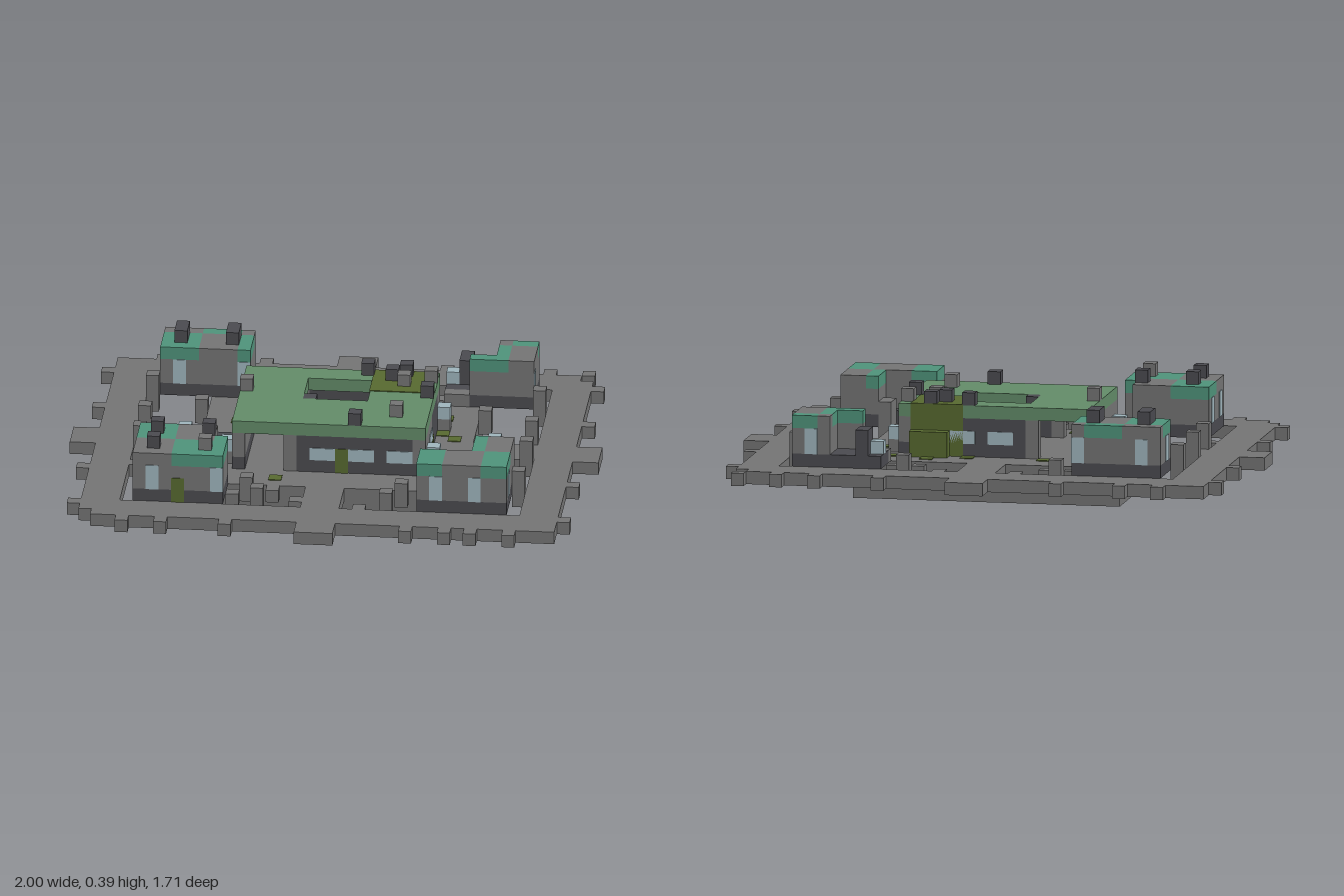
import * as THREE from 'three';

const U = 2 / 41; // edge of one block

export function createModel() {
  const model = new THREE.Group();
  const mat = (name, color) => {
    const m = new THREE.MeshStandardMaterial({ color });
    m.name = name;
    return m;
  };
  const stone = mat('stone', 0x757575), dark = mat('dark stone', 0x4b4b50);
  const teal = mat('teal copper', 0x4f947b), green = mat('green roof', 0x638c69);
  const glass = mat('pale glass', 0xa0b6be), olive = mat('olive vine', 0x586a30);

  let part = model;
  const group = (name) => {
    part = new THREE.Group();
    part.name = name;
    model.add(part);
  };
  // Box covering whole blocks, first to last index on each axis; y counts up from 0
  const box = (name, m, x0, x1, y0, y1, z0, z1, grow = 0) => {
    const size = [x1 - x0 + 1, y1 - y0 + 1, z1 - z0 + 1].map((n) => n * U + 2 * grow);
    const mesh = new THREE.Mesh(new THREE.BoxGeometry(...size), m);
    mesh.position.set((x0 + x1) / 2 * U, (y0 + y1 + 1) / 2 * U, (z0 + z1) / 2 * U);
    mesh.name = name;
    part.add(mesh);
    return mesh;
  };
  // Thin plate on a wall face; axis is the facing axis, sign its direction
  const plate = (name, m, axis, sign, x0, x1, y0, y1, z0, z1) => {
    const mesh = box(name, m, x0, x1, y0, y1, z0, z1);
    const span = { x: x1 - x0 + 1, y: y1 - y0 + 1, z: z1 - z0 + 1 }[axis] * U;
    mesh.scale[axis] = 0.006 / span;
    mesh.position[axis] += sign * span / 2;
  };

  // Foundation, platform and outer walkway
  group('ground');
  box('foundation', stone, -10, 10, 0, 1, -8, 8);
  box('platform', stone, -10, 10, 2, 2, -8, 8);
  for (const s of [-1, 1]) {
    const zi = (a, b) => (s > 0 ? [a, b] : [-b, -a]);
    // Each long side loses one corner block
    const a = s > 0 ? -17 : -18, b = s > 0 ? 18 : 17;
    box('walkwayLong', stone, -18, 18, 2, 2, ...zi(13, 14));
    box('walkwayLongEdge', stone, a, b, 2, 2, ...zi(15, 15));
    box('walkwayShort', stone, ...zi(16, 18), 2, 2, -12, 12);
    box('bridgeZ', stone, -1, 1, 2, 2, ...zi(9, 12));
    box('gateZ', stone, -1, 1, 2, 2, ...zi(16, 17));
    box('bridgeX', stone, ...zi(11, 15), 2, 2, -1, 1);
    box('gateX', stone, ...zi(19, 20), 2, 2, -1, 1);
    for (const x of [-15, -12, -7, 7, s > 0 ? 10 : 18, 12, 15]) box('edgeBlock', stone, x, x, 2, 2, s * 16, s * 16);
    for (const z of [-13, -6, 6, 13]) box('edgeBlock', stone, s * 19, s * 19, 2, 2, z, z);
    for (const z of [-3, 3]) box('glassBlock', glass, s * 12, s * 12, 2, 2, z, z);
  }

  // Loose blocks in the openings: x, z, top layer
  group('rubble');
  [[-3, -12, 2], [-6, -11, 3], [-7, -10, 2], [-5, -10, 2], [3, -12, 2], [6, -11, 3], [7, -10, 2], [5, -10, 2],
    [-15, -8, 4], [-11, -6, 3], [-15, -2, 4], [-12, -2, 2], [-15, 2, 4], [-15, 5, 2], [-11, 6, 3],
    [15, -8, 4], [11, -6, 3], [15, -2, 4], [15, 2, 4], [14, 5, 2], [11, 7, 4], [15, 8, 4],
    [-6, 9, 3], [-4, 9, 2], [-7, 10, 2], [-2, 11, 2], [-5, 11, 3], [6, 9, 3], [8, 9, 2], [5, 11, 3], [3, 12, 2],
  ].forEach(([x, z, top]) => box('looseBlock', stone, x, x, 2, top, z, z));
  [[8, 4], [8, -4], [-8, 4]].forEach(([x, z]) => {
    box('lampPost', stone, x, x, 3, 3, z, z);
    box('lampGlass', glass, x, x, 4, 4, z, z);
  });

  // Corner tower: dark foot, stone wall, then a roof layer given as coloured patches
  const tower = (name, feet, patches) => {
    group(name);
    for (const [x0, x1, z0, z1] of feet) {
      box('foot', dark, x0, x1, 3, 3, z0, z1);
      box('wall', stone, x0, x1, 4, 5, z0, z1);
    }
    for (const [m, x0, x1, z0, z1] of patches) box('roofPatch', m, x0, x1, 6, 6, z0, z1);
  };
  const S = stone, T = teal;
  tower('backRightTower', [[-14, -8, -12, -9]], [
    [S, -14, -12, -12, -12], [T, -11, -9, -12, -12], [S, -8, -8, -12, -12],
    [T, -14, -12, -11, -9], [S, -11, -9, -11, -9], [T, -8, -8, -11, -9]]);
  for (const x of [-13, -9]) box('chimney', dark, x, x, 7, 7, -11, -10);
  for (const x of [-13, -8]) {
    plate('window', glass, 'z', -1, x, x, 4, 5, -12, -12);
    plate('window', glass, 'z', 1, x, x, 4, 5, -9, -9);
  }
  plate('window', glass, 'x', -1, -14, -14, 4, 5, -10, -10);

  tower('frontRightTower', [[-14, -8, 9, 12], [-14, -9, 7, 8]], [
    [T, -14, -12, 7, 9], [S, -11, -9, 7, 9], [T, -8, -8, 9, 9],
    [S, -14, -12, 10, 12], [T, -11, -8, 10, 12]]);
  for (const [x, z, m] of [[-13, 8, dark], [-9, 8, dark], [-13, 11, dark], [-9, 11, stone]]) box('chimney', m, x, x, 7, 7, z, z);
  for (const x of [-13, -8]) plate('window', glass, 'z', 1, x, x, 4, 5, 12, 12);
  for (const z of [8, 11]) plate('window', glass, 'x', -1, -14, -14, 4, 5, z, z);
  plate('vine', olive, 'z', 1, -11, -11, 3, 4, 12, 12);

  tower('frontLeftTower', [[8, 14, 10, 12], [12, 14, 7, 9]], [
    [T, 8, 9, 10, 12], [S, 10, 12, 10, 12], [T, 13, 14, 10, 12],
    [T, 12, 12, 7, 9], [S, 13, 14, 7, 9]]);
  box('step', dark, 9, 11, 3, 3, 9, 9);
  box('step', stone, 11, 11, 3, 4, 8, 8);
  plate('window', glass, 'z', 1, 12, 12, 4, 5, 12, 12);
  plate('window', glass, 'z', 1, 9, 9, 4, 5, 12, 12);
  plate('window', glass, 'x', 1, 14, 14, 4, 5, 11, 11);

  // Ruined tower with an open corner
  tower('backLeftTower', [[12, 14, -12, -9], [10, 11, -9, -9]], [
    [S, 12, 12, -12, -12], [T, 13, 14, -12, -12], [T, 12, 12, -11, -10],
    [S, 13, 14, -11, -9], [T, 10, 12, -9, -9]]);
  box('ruinFloor', dark, 8, 11, 3, 3, -12, -10);
  box('ruinStep', stone, 8, 9, 3, 3, -9, -9);
  box('ruinBlock', dark, 9, 9, 4, 5, -12, -11);
  box('ruinGlass', glass, 8, 8, 4, 4, -11, -11);
  plate('window', glass, 'x', 1, 14, 14, 4, 5, -9, -9);
  plate('window', glass, 'z', -1, 13, 13, 4, 5, -12, -12);

  // Hall walls, with a wide passage near the right end
  group('hall');
  for (const s of [-1, 1]) {
    box('longWall', dark, -2, 6, 3, 5, s * 5, s * 5);
    box('passagePost', stone, -3, -3, 3, 5, s * 5, s * 5);
    for (const x of [-7, 7]) {
      box('cornerPost', stone, x, x, 4, 5, s * 5, s * 5);
      box('cornerFoot', dark, x, x, 3, 3, s * 5, s * 5);
    }
    for (const [a, b] of [[-1, 0], [2, 3], [5, 6]]) plate('longWindow', glass, 'z', s, a, b, 4, 4, s * 5, s * 5);
    // End walls
    const x = s * 7;
    box('endFoot', dark, x, x, 3, 3, -4, 4);
    box('endWall', stone, x, x, 4, 5, 1, 4);
    box('endPanel', dark, x, x, 4, 5, -3, 0);
    box('endWall', stone, x, x, 4, 5, -4, -4);
    for (const [a, b] of [[4, 4], [1, 2], [-4, -4]]) plate('endWindow', glass, 'x', s, x, x, 4, 4, a, b);
  }
  plate('vine', olive, 'z', 1, 1, 1, 3, 4, 5, 5);
  plate('vine', olive, 'x', 1, 7, 7, 3, 3, 0, 0);
  box('courtyardPlant', olive, 0, 0, 3, 3, 0, 0);

  // Hall roof around a courtyard opening
  group('hallRoof');
  box('roofFront', green, -7, 7, 6, 6, 1, 5);
  box('roofRight', green, -7, -3, 6, 6, -3, 0);
  box('roofLeft', green, 3, 7, 6, 6, -3, 0);
  box('roofBack', green, -7, 7, 6, 6, -5, -4);
  box('openingBlock', dark, -2, -2, 6, 6, 0, 0);
  [[2, -5, dark], [5, -5, dark], [4, -4, dark], [7, -4, stone], [5, -3, stone], [7, -1, dark],
    [2, 5, dark], [5, 3, stone], [-7, -1, stone]].forEach(([x, z, m]) => box('roofBlock', m, x, x, 7, 7, z, z));

  // Vine spilling over the back of the roof
  group('vines');
  box('roofVine', olive, 3, 6, 6, 6, -5, -2, 0.003);
  box('wallVine', olive, 3, 6, 3, 5, -5, -5, 0.003);
  box('hangingVine', olive, 4, 6, 3, 4, -6, -6);
  [[2, -6], [5, -7], [8, -6], [8, -3], [9, -2], [-4, -6], [-8, -4], [-4, 7], [9, 7]]
    .forEach(([x, z]) => plate('mossPatch', olive, 'y', 1, x, x, 2, 2, z, z));
  for (const z of [-1, 1]) plate('darkPatch', dark, 'y', 1, -9, -8, 2, 2, z, z);

  return model;
}
